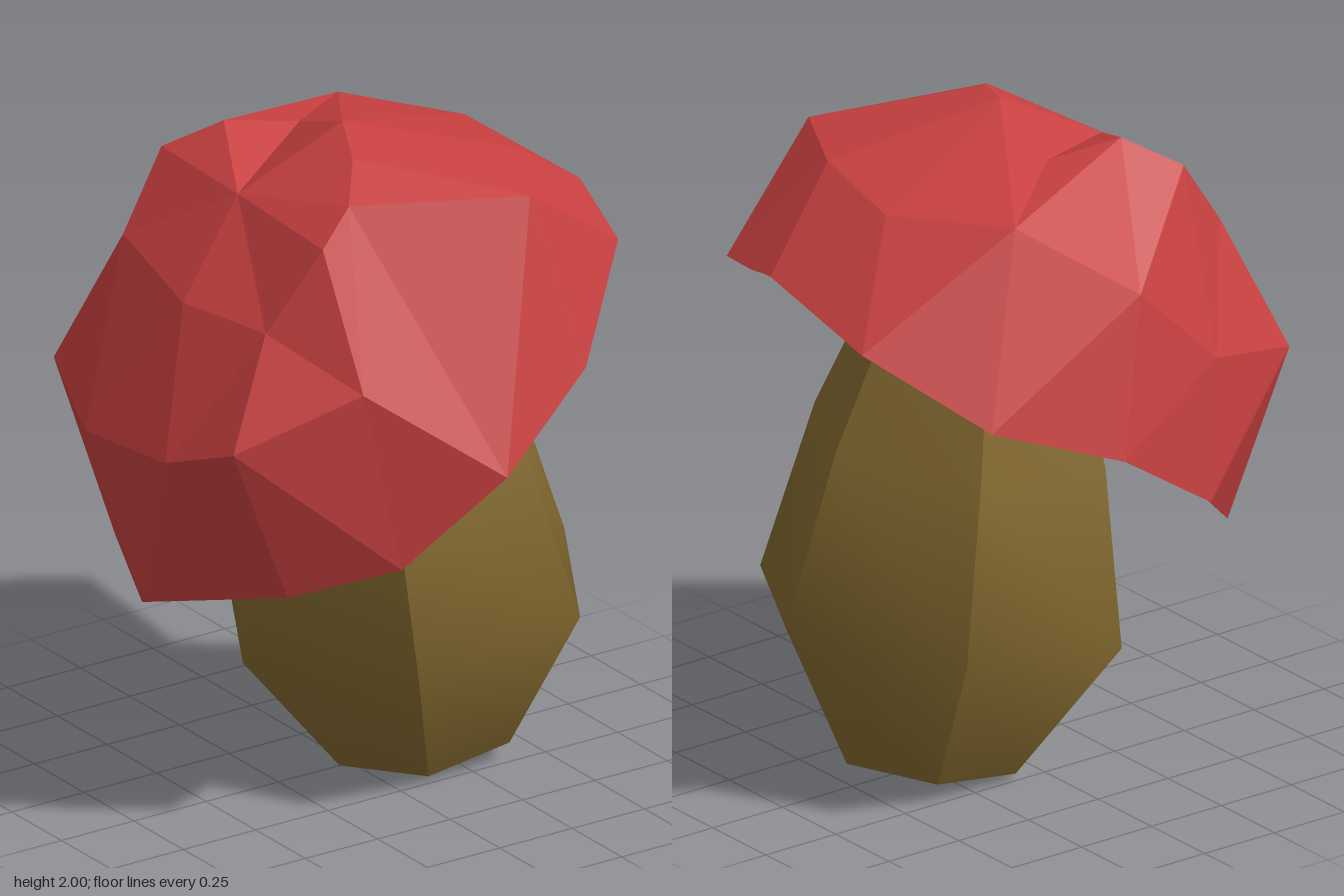
import * as THREE from 'three';
import { toCreasedNormals } from 'three/addons/utils/BufferGeometryUtils.js';

// Corners of the cap: capitals lie on the rim and the lower ring, small letters on the crown
const CORNERS = {
  // crown
  f: [-0.03, 2.0, 0], g: [-0.11, 1.96, 0.17], h: [-0.22, 1.89, 0.31], i: [-0.34, 1.8, 0.355],
  j: [-0.5, 1.56, 0.3], l: [-0.58, 1.57, 0], a: [-0.52, 1.63, -0.39], b: [-0.36, 1.85, -0.43],
  c: [-0.22, 1.935, -0.32], d: [0, 1.9, -0.26], e: [-0.35, 1.83, -0.06],
  n: [0.29, 1.84, -0.49], o: [0.51, 1.83, -0.17], p: [0.45, 1.865, 0.18], q: [0.29, 1.86, 0.48],
  // lower ring
  r: [-0.03, 1.61, -0.66], M: [-0.34, 1.42, 0.56], J: [-0.68, 1.26, 0.4], K: [-0.75, 1.17, 0.16],
  L: [-0.78, 1.15, -0.2], A: [-0.67, 1.24, -0.52], N: [-0.31, 1.34, -0.65],
  // rim
  F: [0.77, 1.64, 0.03], G: [0.69, 1.58, 0.34], H: [0.38, 1.36, 0.63], I: [0.02, 1.15, 0.76],
  P: [-0.25, 0.88, 0.62], Q: [-0.5, 0.78, 0.41], S: [-0.68, 0.645, -0.06], T: [-0.54, 0.7, -0.4],
  B: [-0.26, 0.92, -0.69], C: [0.1, 1.16, -0.76], D: [0.51, 1.32, -0.67], E: [0.77, 1.54, -0.4],
};

// Fans of triangles: the first letter is the hub, the rest run around it
const FANS = ['efghijlabcdf', 'fdnopqg', 'qghIHGp', 'pGFo', 'EFonD', 'rDncbNCD', 'MhijJPIh',
  'KQJjlLSQ', 'ALaNBTL', 'Lla', 'LST', 'JPQ', 'NCB', 'Nab', 'cdn'];

function fanGeometry(corners, fans, inside) {
  const positions = [];
  for (const fan of fans) {
    for (let k = 1; k < fan.length - 1; k++) {
      const [u, v, w] = [fan[0], fan[k], fan[k + 1]].map((key) => new THREE.Vector3(...corners[key]));
      // turn every face away from the inside
      const normal = new THREE.Triangle(u, v, w).getNormal(new THREE.Vector3());
      const outward = u.clone().add(v).add(w).divideScalar(3).sub(inside);
      const order = normal.dot(outward) > 0 ? [u, v, w] : [u, w, v];
      for (const point of order) positions.push(point.x, point.y, point.z);
    }
  }
  const geometry = new THREE.BufferGeometry();
  geometry.setAttribute('position', new THREE.Float32BufferAttribute(positions, 3));
  geometry.computeVertexNormals();
  return geometry;
}

export function createModel() {
  const model = new THREE.Group();
  model.name = 'mushroom';

  // Leaning six-sided stem, bulging low down
  const profile = [[0, 0], [0.282, 0], [0.56, 0.44], [0.45, 0.96], [0.22, 1.6], [0, 1.6]];
  const stemGeometry = new THREE.LatheGeometry(
    profile.map(([radius, y]) => new THREE.Vector2(radius, y)), 6, Math.PI / 2);
  const stem = new THREE.Mesh(
    toCreasedNormals(stemGeometry, 0.8),
    new THREE.MeshStandardMaterial({ color: 0x83692f }));
  stem.name = 'stem';
  stem.position.set(0.24, 0.042, 0);
  stem.rotation.z = 0.133;
  model.add(stem);

  // Thin faceted cap, tipped down to one side and open below
  const cap = new THREE.Mesh(
    fanGeometry(CORNERS, FANS, new THREE.Vector3(0.05, 1.1, 0)),
    new THREE.MeshStandardMaterial({ color: 0xc84040, flatShading: true, side: THREE.DoubleSide }));
  cap.name = 'cap';
  model.add(cap);

  return model;
}
